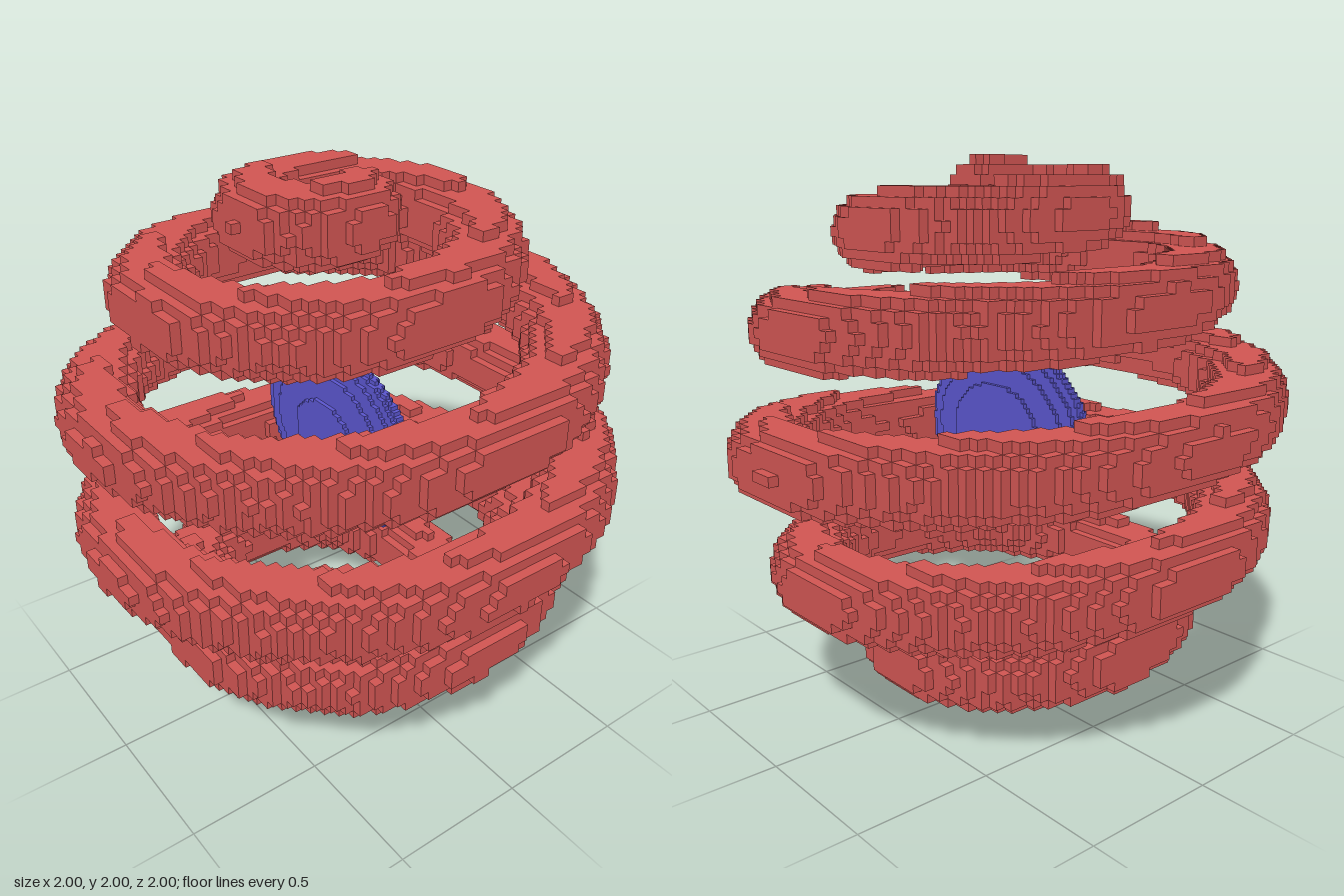
import * as THREE from 'three';

const CENTRE = new THREE.Vector3(-0.02, 1, 0);

// A cube of n^3 cells spanning x,z in [-half, half] and y in [1-half, 1+half].
function makeGrid(n, half) {
  const size = (2 * half) / n;
  const cells = new Uint8Array(n * n * n);
  const at = (i, j, k) => (i * n + j) * n + k;
  const inRange = (v) => v >= 0 && v < n;
  return {
    n, half, size,
    get: (i, j, k) => inRange(i) && inRange(j) && inRange(k) && cells[at(i, j, k)] === 1,
    // Fill every cell whose centre lies inside an ellipsoid
    stamp(c, rx, ry, rz) {
      const span = (v, r) => [
        Math.max(0, Math.floor((v - r + half) / size)),
        Math.min(n - 1, Math.floor((v + r + half) / size)),
      ];
      const mid = (i) => -half + (i + 0.5) * size;
      const [i0, i1] = span(c.x, rx), [j0, j1] = span(c.y - 1, ry), [k0, k1] = span(c.z, rz);
      for (let i = i0; i <= i1; i++)
        for (let j = j0; j <= j1; j++)
          for (let k = k0; k <= k1; k++) {
            const dx = (mid(i) - c.x) / rx, dy = (mid(j) + 1 - c.y) / ry, dz = (mid(k) - c.z) / rz;
            if (dx * dx + dy * dy + dz * dz <= 1) cells[at(i, j, k)] = 1;
          }
    },
  };
}

// Mesh only the exposed cell faces
function gridMesh(grid, color, name) {
  const { n, half, size, get } = grid;
  const pos = [], nor = [], idx = [];
  for (let i = 0; i < n; i++)
    for (let j = 0; j < n; j++)
      for (let k = 0; k < n; k++) {
        if (!get(i, j, k)) continue;
        for (let axis = 0; axis < 3; axis++)
          for (const side of [0, 1]) {
            const dir = [0, 0, 0];
            dir[axis] = side ? 1 : -1;
            if (get(i + dir[0], j + dir[1], k + dir[2])) continue;
            const base = pos.length / 3;
            for (const [a, b] of [[0, 0], [1, 0], [1, 1], [0, 1]]) {
              const p = [i, j, k];
              p[axis] += side;
              p[(axis + 1) % 3] += a;
              p[(axis + 2) % 3] += b;
              pos.push(p[0] * size - half, p[1] * size - half + 1, p[2] * size - half);
              nor.push(...dir);
            }
            const order = side ? [0, 1, 2, 0, 2, 3] : [0, 2, 1, 0, 3, 2];
            for (const o of order) idx.push(base + o);
          }
      }
  const geo = new THREE.BufferGeometry();
  geo.setAttribute('position', new THREE.Float32BufferAttribute(pos, 3));
  geo.setAttribute('normal', new THREE.Float32BufferAttribute(nor, 3));
  geo.setIndex(idx);
  const mesh = new THREE.Mesh(geo, new THREE.MeshStandardMaterial({ color }));
  mesh.name = name;
  return mesh;
}

export function createModel() {
  const group = new THREE.Group();
  group.name = 'spiralSphere';

  // Thick coil winding over a sphere, 12 half-degrees of latitude per turn step
  const R = 0.875, tube = 0.13, turnsPerRadian = 12 / Math.PI / 2;
  const endLat = THREE.MathUtils.degToRad(82.5);
  const coil = makeGrid(57, 1);
  const steps = 3000;
  for (let s = 0; s <= steps; s++) {
    const lat = endLat * (1 - (2 * s) / steps);
    const theta = -lat * turnsPerRadian * Math.PI * 2;
    const p = new THREE.Vector3(
      R * Math.cos(lat) * Math.cos(theta),
      R * Math.sin(lat),
      R * Math.cos(lat) * Math.sin(theta),
    ).add(CENTRE);
    coil.stamp(p, tube, tube, tube);
  }
  group.add(gridMesh(coil, 0xd05552, 'spiralCoil'));

  // Thin upright lens in the middle, on a finer grid
  const lens = makeGrid(60, 0.45);
  lens.stamp(CENTRE, 0.068, 0.345, 0.435);
  group.add(gridMesh(lens, 0x5a55cc, 'innerLens'));

  return group;
}
